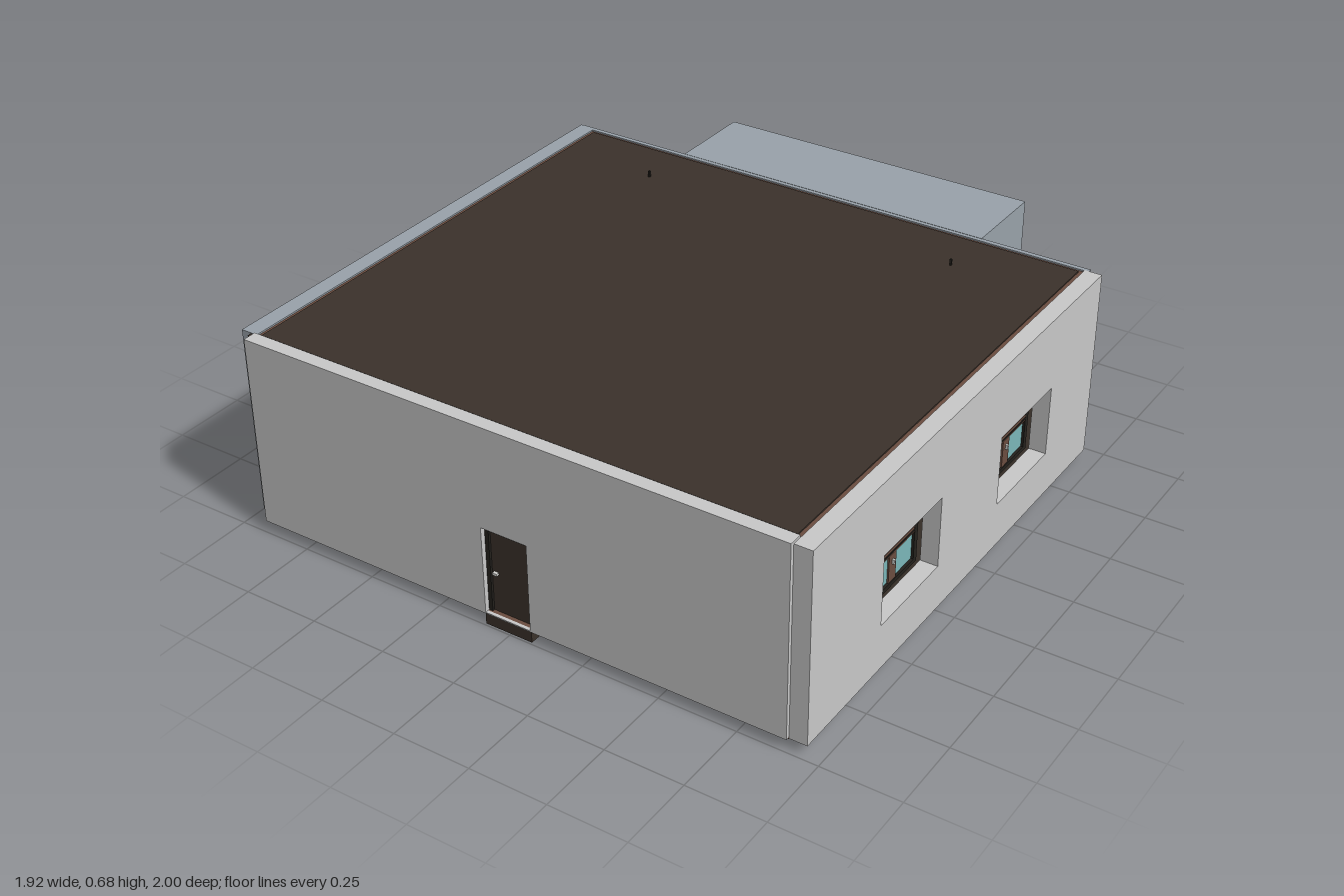
import * as THREE from 'three';

const mat = (name, color, side = THREE.FrontSide) => {
  const m = new THREE.MeshStandardMaterial({ color, side });
  m.name = name;
  return m;
};

export function createModel() {
  const model = new THREE.Group();
  model.name = 'house';
  const light = mat('light grey plaster', 0xc9c9c9);
  const blue = mat('blue grey plaster', 0x9aa3ab);
  const dark = mat('dark brown', 0x3b322b);
  const black = mat('near black', 0x24211d);
  const wood = mat('wood brown', 0x6b4d40);
  const glass = mat('teal glass', 0x7cb8ba);
  const red = mat('red shutter', 0xb85050, THREE.DoubleSide);
  const metal = mat('pale metal', 0xd8d8d4);

  // Box given by its min and max on each axis
  const box = (name, m, x0, x1, y0, y1, z0, z1, parent = model) => {
    const mesh = new THREE.Mesh(new THREE.BoxGeometry(x1 - x0, y1 - y0, z1 - z0), m);
    mesh.position.set((x0 + x1) / 2, (y0 + y1) / 2, (z0 + z1) / 2);
    mesh.name = name;
    parent.add(mesh);
    return mesh;
  };

  // Upright slab with rectangular holes, extruded by its thickness
  const rect = (path, [a, b, y0, y1]) =>
    path.moveTo(a, y0).lineTo(b, y0).lineTo(b, y1).lineTo(a, y1).closePath();
  const wall = (name, m, outline, holes, depth) => {
    const shape = new THREE.Shape();
    rect(shape, outline);
    for (const h of holes) {
      const p = new THREE.Path();
      rect(p, h);
      shape.holes.push(p);
    }
    const mesh = new THREE.Mesh(
      new THREE.ExtrudeGeometry(shape, { depth, bevelEnabled: false }), m);
    mesh.name = name;
    model.add(mesh);
    return mesh;
  };

  // Inner body, floor and roof
  box('innerBody', dark, -0.9, 0.89, 0.04, 0.64, -0.685, 0.95);
  box('floor', wood, -0.905, 0.9, 0.034, 0.042, -0.69, 0.985);
  box('roofTrim', wood, -0.906, 0.9, 0.64, 0.651, -0.69, 0.952);
  box('roof', dark, -0.893, 0.887, 0.64, 0.655, -0.675, 0.942);

  // Front wall with doorway
  const front = wall('frontWall', light, [-0.91, 0.9, 0.038, 0.662],
    [[-0.085, 0.07, 0.042, 0.33]], 0.045);
  front.position.z = 0.951;

  // Side walls with two window openings each
  const sideSpecs = [
    ['leftWall', light, 0.957, [-0.69, 0.985], [[0.29, 0.61], [-0.39, -0.07]], 0.057],
    ['rightWall', blue, -0.905, [-0.7, 0.95], [[-0.33, -0.01], [0.35, 0.67]], 0.056],
  ];
  for (const [name, m, x, [a, b], holes] of sideSpecs) {
    const w = wall(name, m, [a, b, 0.036, 0.656],
      holes.map(([p, q]) => [p, q, 0.185, 0.415]), 0.056);
    w.rotation.y = -Math.PI / 2;
    w.position.x = x;
  }

  // Windows, built facing +x around their own centre
  const addWindow = (side, z) => {
    const g = new THREE.Group();
    g.name = 'window';
    box('windowGlass', glass, 0, 0.004, -0.085, 0.075, -0.13, 0.13, g);
    for (const s of [-1, 1]) {
      box('frameSide', black, 0, 0.012, -0.1, 0.085, s * 0.125 - 0.009, s * 0.125 + 0.009, g);
      box('sashSide', wood, 0, 0.009, -0.09, 0.075, s * 0.015 - 0.005, s * 0.015 + 0.005, g);
    }
    box('frameTop', black, 0, 0.012, 0.073, 0.085, -0.134, 0.134, g);
    box('frameBottom', black, 0, 0.012, -0.1, -0.086, -0.134, 0.134, g);
    box('topRail', wood, 0, 0.01, 0.066, 0.074, -0.116, 0.116, g);
    box('mullion', wood, 0, 0.009, -0.09, 0.075, -0.011, 0.011, g);
    box('transom', wood, 0, 0.011, 0.006, 0.026, -0.118, 0.118, g);
    box('transomShade', black, 0, 0.013, 0.013, 0.018, -0.118, 0.118, g);
    box('handle', metal, 0, 0.016, -0.03, -0.015, -0.004, 0.004, g);
    g.position.set(side > 0 ? 0.89 : -0.9, 0.3, z);
    g.rotation.y = side > 0 ? 0 : Math.PI;
    model.add(g);
  };
  for (const z of [0.45, -0.23]) addWindow(1, z);
  for (const z of [-0.17, 0.51]) addWindow(-1, z);

  // Door, its frame, knob and step
  box('door', dark, -0.075, 0.06, 0.04, 0.32, 0.951, 0.972);
  for (const [a, b] of [[-0.085, -0.072], [0.06, 0.07]])
    box('doorFrameSide', black, a, b, 0.04, 0.33, 0.951, 0.98);
  box('doorFrameTop', black, -0.085, 0.07, 0.315, 0.33, 0.951, 0.98);
  box('doorHandle', metal, -0.065, -0.05, 0.17, 0.178, 0.972, 0.982);
  box('doorStep', dark, -0.088, 0.072, 0, 0.036, 0.945, 0.993);

  // Back wall
  box('backWall', blue, -0.955, 0.915, 0.038, 0.656, -0.702, -0.686);

  // Rear bay: sides, top, base, header, shutter and lower panel
  box('bayRightSide', blue, -0.541, -0.529, 0.04, 0.657, -1, -0.7);
  box('bayLeftSide', blue, 0.539, 0.551, 0.04, 0.657, -1, -0.7);
  box('bayTop', blue, -0.53, 0.54, 0.645, 0.657, -1, -0.7);
  box('bayHeader', blue, -0.53, 0.54, 0.505, 0.646, -1, -0.985);
  box('bayBase', dark, -0.53, 0.54, 0.04, 0.05, -0.985, -0.7);
  box('bayLowerPanel', wood, -0.53, 0.54, 0.04, 0.235, -0.998, -0.98);
  box('bayRail', black, -0.53, 0.54, 0.233, 0.239, -0.997, -0.975);

  // Shutter sheet with a slight outward bulge
  const sheet = new THREE.PlaneGeometry(1.07, 0.27, 1, 10);
  const pos = sheet.attributes.position;
  for (let i = 0; i < pos.count; i++)
    pos.setZ(i, 0.03 * Math.cos((pos.getY(i) / 0.27) * Math.PI));
  sheet.computeVertexNormals();
  const shutter = new THREE.Mesh(sheet, red);
  shutter.name = 'bayShutter';
  shutter.rotation.y = Math.PI;
  shutter.position.set(0.005, 0.371, -0.965);
  model.add(shutter);

  // Roof pegs and corner brackets
  for (const x of [-0.545, 0.55])
    box('roofPeg', black, x - 0.003, x + 0.003, 0.65, 0.676, -0.503, -0.497);
  for (const [y0, y1] of [[0.04, 0.072], [0.615, 0.655]])
    box('cornerBracket', dark, -0.925, -0.909, y0, y1, 0.948, 0.965);

  return model;
}
